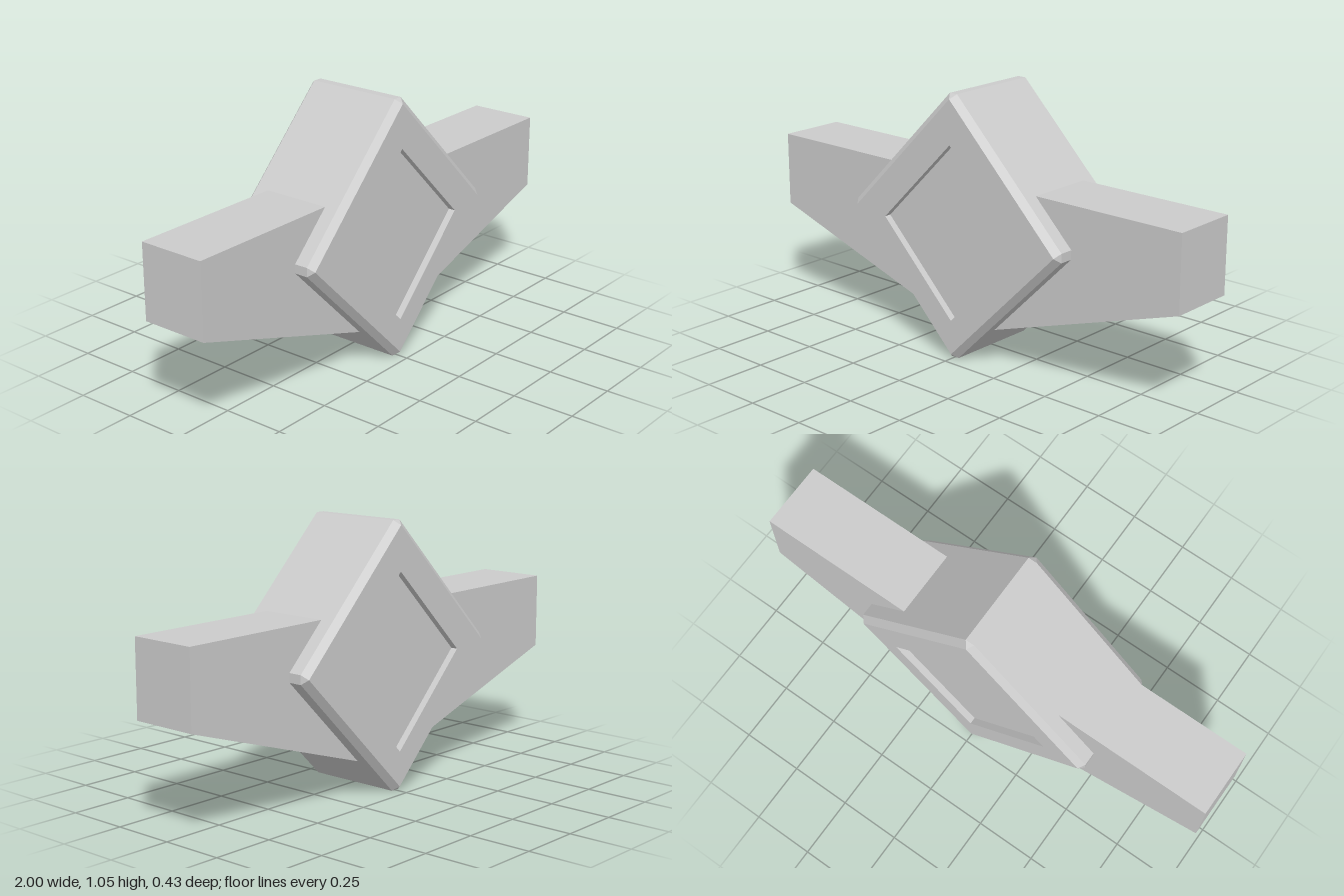
import * as THREE from 'three';

const CENTRE_Y = 0.523;

// Eight points of a diamond: tip distance r, half-width h of each cut-off tip
function diamondRing({ r, h = 0, z, cy = CENTRE_Y }) {
  const ring = [];
  for (let k = 0; k < 4; k++) {
    const a = (k * Math.PI) / 2;
    const c = Math.cos(a), s = Math.sin(a);
    for (const side of [-1, 1]) {
      ring.push(new THREE.Vector3(r * c - side * h * s, cy + r * s + side * h * c, z));
    }
  }
  return ring;
}

// Skin rings from front to back, dropping collapsed triangles
function loft(rings) {
  const points = [];
  const addTriangle = (a, b, c) => {
    if (new THREE.Triangle(a, b, c).getArea() > 1e-7) points.push(a, b, c);
  };
  for (let i = 0; i < rings.length - 1; i++) {
    const front = rings[i], back = rings[i + 1];
    for (let j = 0; j < front.length; j++) {
      const k = (j + 1) % front.length;
      addTriangle(front[j], back[j], front[k]);
      addTriangle(front[k], back[j], back[k]);
    }
  }
  const geometry = new THREE.BufferGeometry().setFromPoints(points);
  geometry.computeVertexNormals();
  return geometry;
}

export function createModel() {
  const model = new THREE.Group();
  model.name = 'model';
  const material = new THREE.MeshStandardMaterial({ color: 0xcccccc, flatShading: true });

  // Chamfered diamond block with a shallow square recess in both faces
  const face = 0.217, edge = 0.193, floor = 0.189, recessY = 0.505;
  const half = [
    { r: 0, z: floor, cy: recessY },
    { r: 0.348, z: floor, cy: recessY },
    { r: 0.348, z: face, cy: recessY },
    { r: 0.505, z: face },
    { r: 0.523, h: 0.018, z: edge },
  ];
  const profile = [...half, ...half.map((p) => ({ ...p, z: -p.z })).reverse()];
  const block = new THREE.Mesh(loft(profile.map(diamondRing)), material);
  block.name = 'diamondBlock';
  model.add(block);

  // Tapered arms, their inner ends buried in the block
  const armDepth = 0.276;
  for (const side of [1, -1]) {
    const outline = new THREE.Shape(
      [[0.1, 0.119], [1, 0.41], [1, 0.71], [0.1, 0.71]].map(([x, y]) => new THREE.Vector2(side * x, y))
    );
    const geometry = new THREE.ExtrudeGeometry(outline, { depth: armDepth, bevelEnabled: false });
    geometry.translate(0, 0, -armDepth / 2);
    const arm = new THREE.Mesh(geometry, material);
    arm.name = side > 0 ? 'leftArm' : 'rightArm';
    model.add(arm);
  }

  return model;
}
